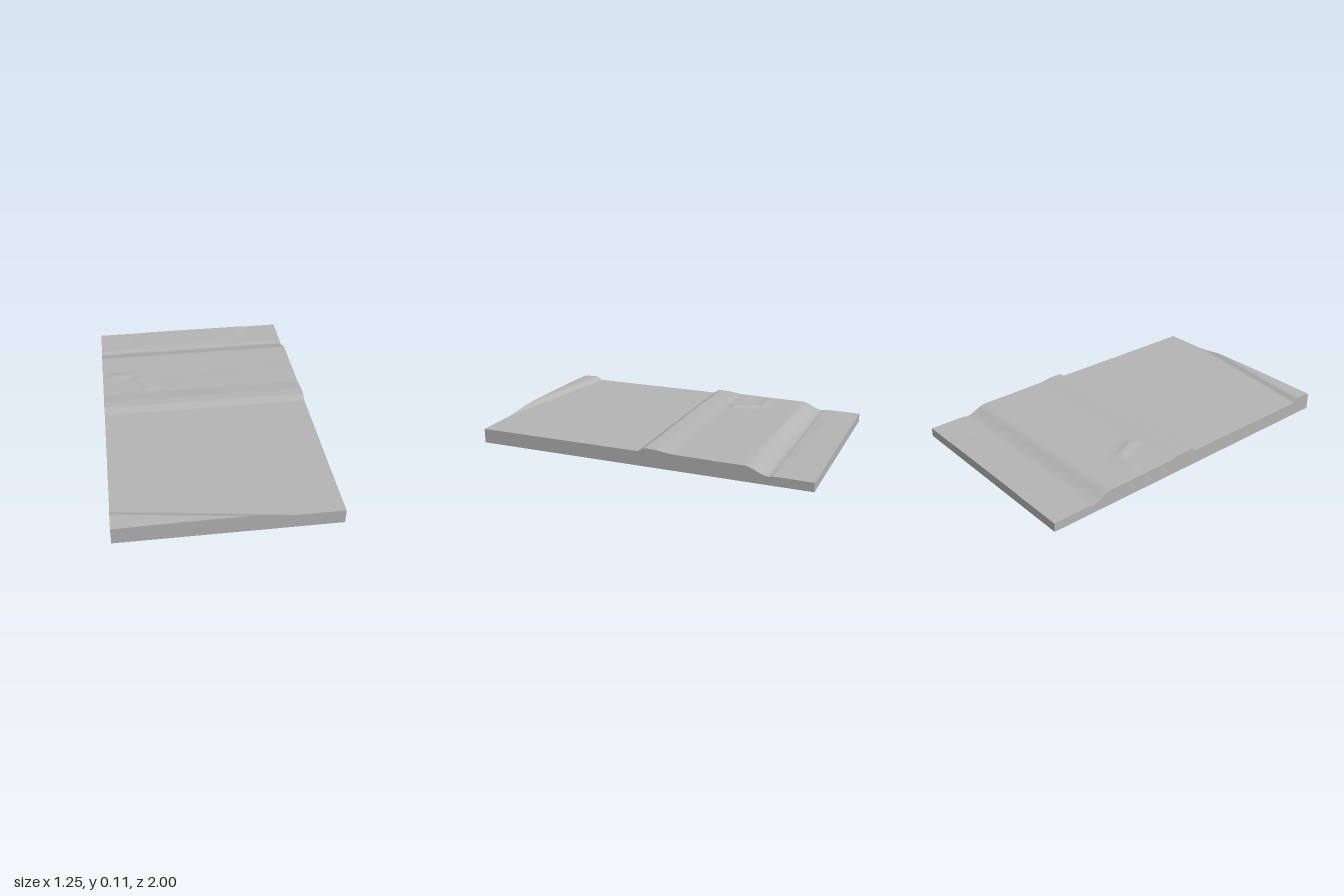
import * as THREE from 'three';

const WIDTH = 1.245, LENGTH = 2;
const { smoothstep } = THREE.MathUtils;

// Main cross-section along z: [z, height], from back to front
const PROFILE = [
  [-1, 0.052], [-0.8, 0.053], [-0.775, 0.052], [-0.757, 0.047], [-0.735, 0.05], [-0.7, 0.063],
  [-0.665, 0.081], [-0.635, 0.09], [-0.6, 0.091], [-0.45, 0.092], [-0.3, 0.094], [-0.2, 0.095],
  [-0.15, 0.102], [-0.11, 0.107], [-0.05, 0.108], [-0.036, 0.105], [-0.012, 0.086], [-0.008, 0.085], [1, 0.085],
];

function profileHeight(z) {
  let i = 1;
  while (i < PROFILE.length - 1 && z > PROFILE[i][0]) i++;
  const [z0, y0] = PROFILE[i - 1], [z1, y1] = PROFILE[i];
  return y0 + (y1 - y0) * (z - z0) / (z1 - z0);
}

// Soft mound around the segment a-b
function mound(x, z, ax, az, bx, bz, radius, height) {
  const dx = bx - ax, dz = bz - az;
  const t = THREE.MathUtils.clamp(((x - ax) * dx + (z - az) * dz) / (dx * dx + dz * dz), 0, 1);
  const d = Math.hypot(x - ax - t * dx, z - az - t * dz) / radius;
  return height * Math.exp(-d * d);
}

function surfaceHeight(x, z) {
  let y = profileHeight(z);
  // raised bank cutting diagonally across the front corner
  const d = z - (0.86 + 0.147 * (x + 0.62));
  if (d > 0) y += 0.022 * smoothstep(d, -0.006, 0.034) - 0.006 * smoothstep(d, 0.07, 0.15);
  // small mounds on the verge
  if (z < -0.15) {
    y += mound(x, z, -0.55, -0.41, -0.42, -0.41, 0.03, 0.006);
    y += mound(x, z, -0.39, -0.36, -0.34, -0.25, 0.028, 0.011);
  }
  // faint folds in the low strip and gentle unevenness
  if (z < -0.78) {
    const fade = smoothstep(-z, 0.78, 0.83);
    y += fade * 0.003 * smoothstep(x + 0.35 + 0.55 * (z + 0.9), -0.05, 0.03);
    y -= fade * 0.003 * smoothstep(x - 0.35 + 0.5 * (z + 0.9), -0.03, 0.03);
  }
  const rough = smoothstep(z, -0.66, -0.55) * (1 - smoothstep(z, -0.25, -0.15));
  return y + rough * 0.0006 * Math.sin(9 * x + 14 * z) * Math.sin(17 * z - 5 * x);
}

export function createModel() {
  const model = new THREE.Group();
  model.name = 'roadTerrainSlab';
  const stone = new THREE.MeshStandardMaterial({ color: 0xb4b4b4 });
  stone.name = 'plain grey';

  // Slab whose top face follows the height rule; walls and base stay flat
  const geometry = new THREE.BoxGeometry(WIDTH, 1, LENGTH, 60, 1, 240);
  const p = geometry.attributes.position;
  for (let i = 0; i < p.count; i++) {
    p.setY(i, p.getY(i) > 0 ? surfaceHeight(p.getX(i), p.getZ(i)) : 0);
  }
  geometry.computeVertexNormals();
  const slab = new THREE.Mesh(geometry, stone);
  slab.name = 'terrainSlab';
  model.add(slab);
  return model;
}
